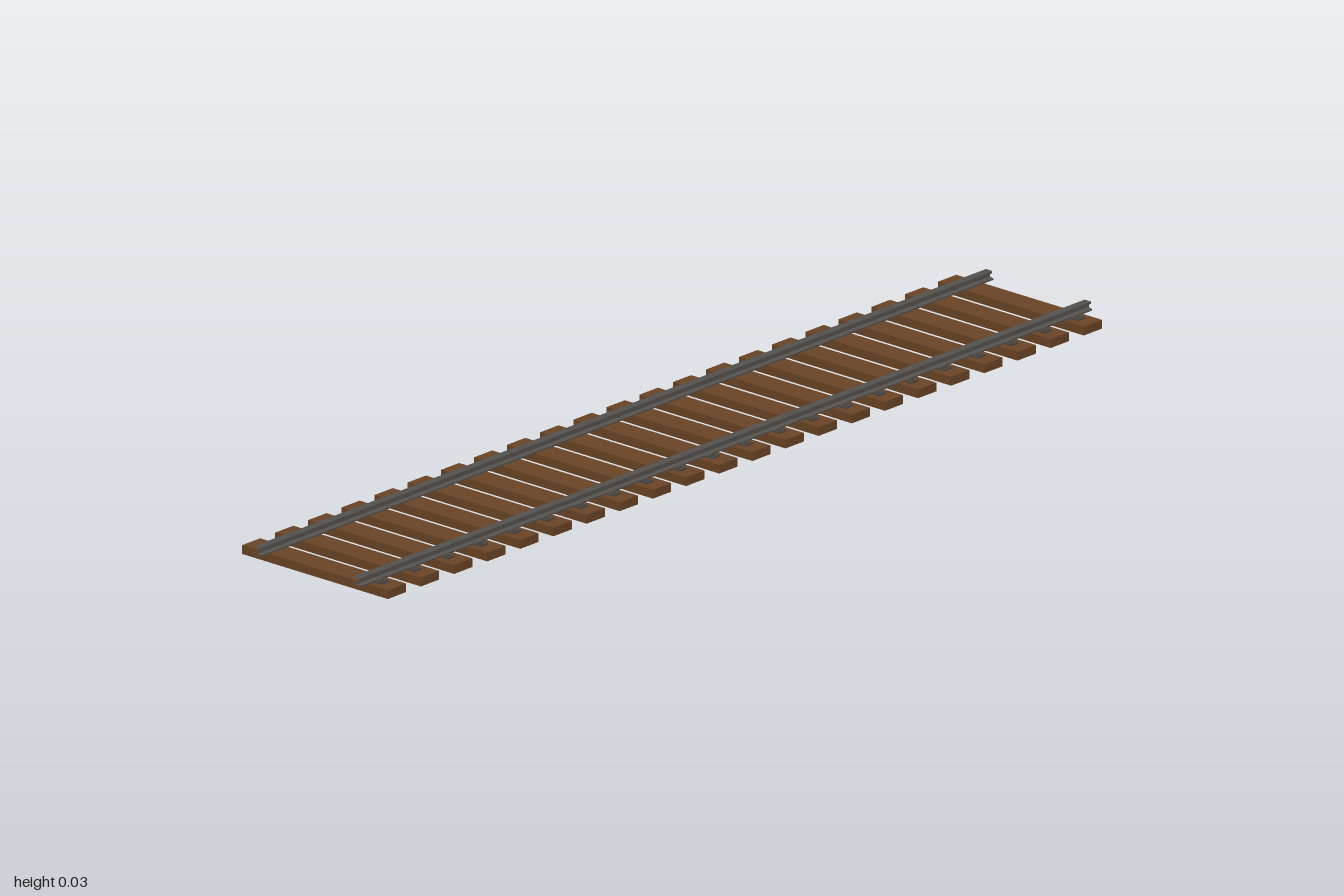
import * as THREE from 'three';

const wood = new THREE.MeshStandardMaterial({ color: 0x6b4526 });
const steel = new THREE.MeshStandardMaterial({ color: 0x55524e });
const iron = new THREE.MeshStandardMaterial({ color: 0x4a4744 });

const SLEEPERS = 22, SPACING = 0.0905, TOP = 0.017, GAUGE = 0.122;

// Flat-bottomed rail section (half outline, mirrored), swept along x with open ends
function railGeometry() {
  const half = [[0.011, 0], [0.011, 0.003], [0.003, 0.005], [0.003, 0.011], [0.008, 0.012], [0.008, 0.016], [0.007, 0.017]];
  const outline = [...half, ...half.map(([x, y]) => [-x, y]).reverse()];
  const shape = new THREE.Shape(outline.map(([x, y]) => new THREE.Vector2(x, y)));
  const solid = new THREE.ExtrudeGeometry(shape, { depth: 2, bevelEnabled: false });
  const walls = solid.groups[1];
  const open = new THREE.BufferGeometry();
  for (const key of ['position', 'normal']) {
    const data = solid.attributes[key].array.slice(walls.start * 3, (walls.start + walls.count) * 3);
    open.setAttribute(key, new THREE.BufferAttribute(data, 3));
  }
  return open.translate(0, 0, -1).rotateY(Math.PI / 2);
}

export function createModel() {
  const group = new THREE.Group();
  const add = (name, geometry, material, x, y, z) => {
    const mesh = new THREE.Mesh(geometry, material);
    mesh.name = name;
    mesh.position.set(x, y, z);
    group.add(mesh);
  };

  const sleeper = new THREE.BoxGeometry(0.05, TOP, 0.36);
  const clip = new THREE.BoxGeometry(0.02, 0.003, 0.02);
  const bolt = new THREE.CylinderGeometry(0.004, 0.004, 0.003, 6);

  // Sleepers with a clip and bolt outside each rail
  for (let i = 0; i < SLEEPERS; i++) {
    const x = (i - (SLEEPERS - 1) / 2) * SPACING;
    add('sleeper', sleeper, wood, x, TOP / 2, 0);
    for (const side of [-1, 1]) {
      add('railClip', clip, iron, x, TOP + 0.0015, side * 0.141);
      add('clipBolt', bolt, iron, x, TOP + 0.0035, side * 0.142);
    }
  }

  // Rails
  const rail = railGeometry();
  add('leftRail', rail, steel, 0, TOP, GAUGE);
  add('rightRail', rail, steel, 0, TOP, -GAUGE);
  return group;
}
